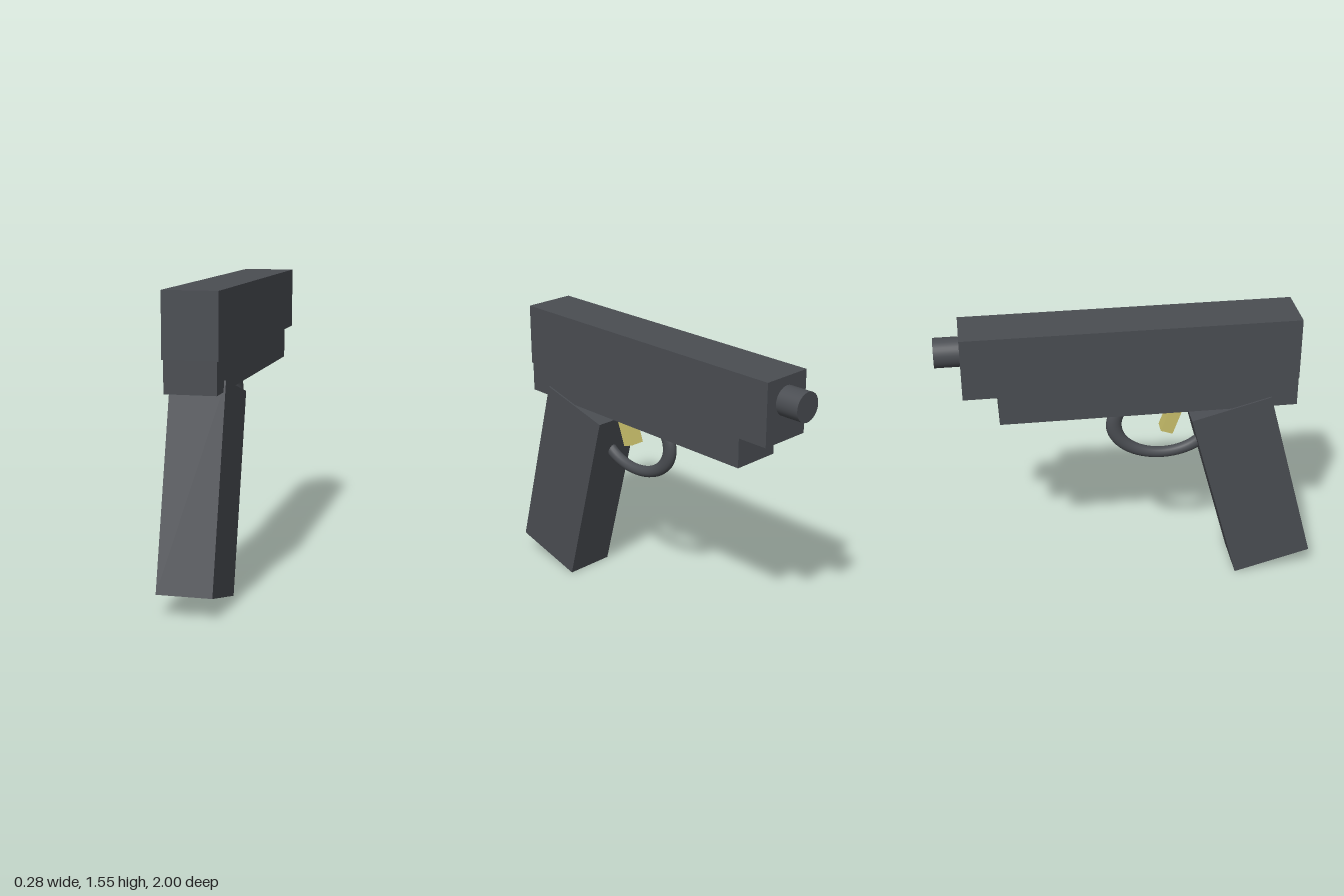
import * as THREE from 'three';

export function createModel() {
  const model = new THREE.Group();
  const gunmetal = new THREE.MeshStandardMaterial({ color: 0x4a4d52 });
  gunmetal.name = 'gunmetal';
  const brass = new THREE.MeshStandardMaterial({ color: 0xc8bf6a });
  brass.name = 'brass';

  function add(name, geometry, material, y, z, tilt = 0) {
    const mesh = new THREE.Mesh(geometry, material);
    mesh.name = name;
    mesh.position.set(0, y, z);
    mesh.rotation.x = tilt;
    model.add(mesh);
    return mesh;
  }
  const box = (w, h, d) => new THREE.BoxGeometry(w, h, d);
  const deg = THREE.MathUtils.degToRad;

  // Upper body and the shorter, slightly narrower frame under it
  add('slide', box(0.28, 0.33, 1.74), gunmetal, 1.393, 0);
  add('frame', box(0.262, 0.17, 1.56), gunmetal, 1.15, 0.09);

  // Muzzle end of the barrel, pointing to -z
  add('barrel', new THREE.CylinderGeometry(0.077, 0.077, 0.4, 32), gunmetal, 1.434, -0.8, Math.PI / 2);

  // Raked handle
  add('grip', box(0.28, 1.04, 0.434), gunmetal, 0.5625, 0.655, deg(-15));

  // Oval ring, stretched lengthwise
  const ring = new THREE.TorusGeometry(0.19, 0.03, 16, 64);
  ring.rotateY(Math.PI / 2).scale(1, 1, 1.4);
  add('triggerGuard', ring, gunmetal, 0.94, 0.18);

  add('trigger', box(0.08, 0.174, 0.067), brass, 0.975, 0.223, deg(20));

  return model;
}
